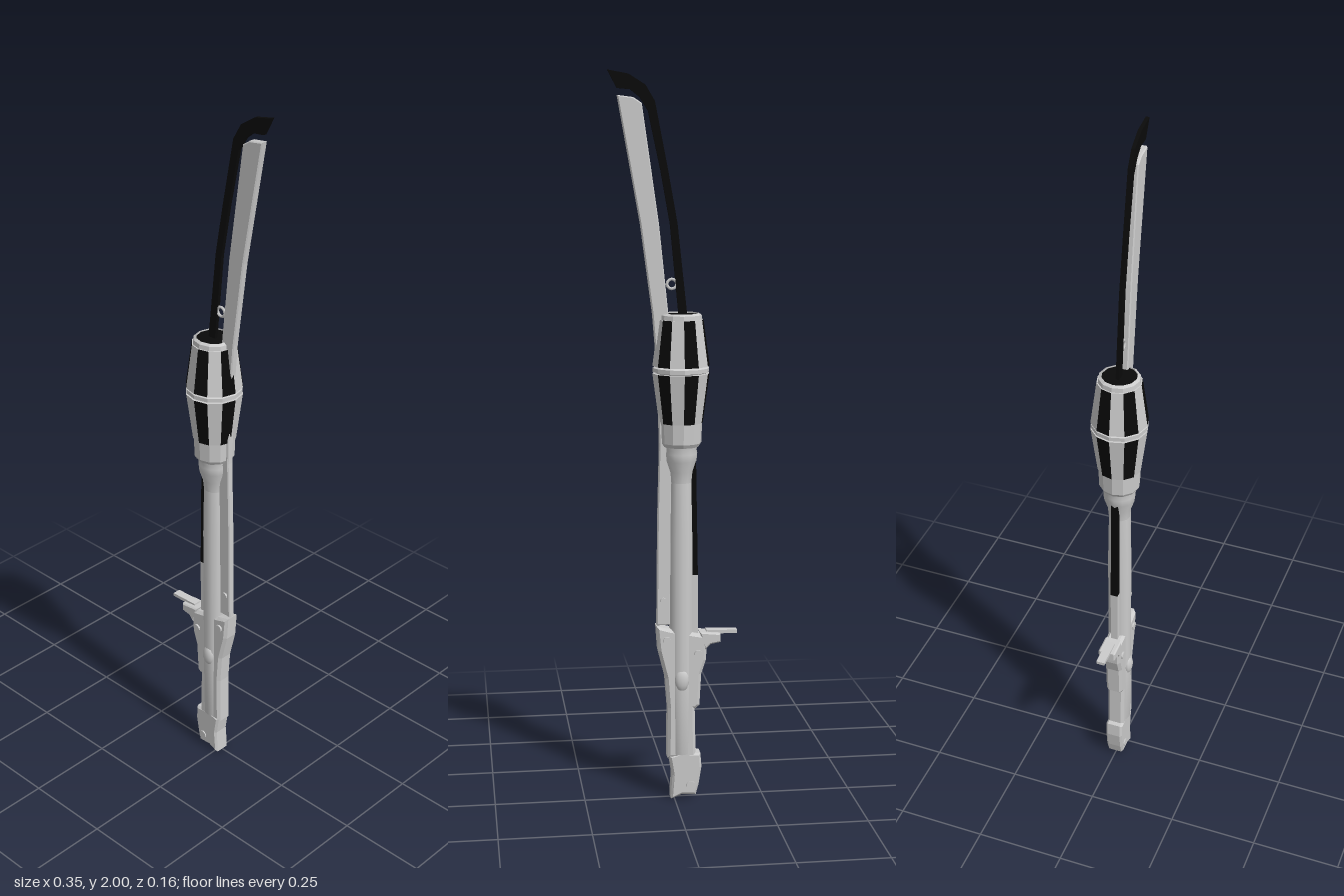
import * as THREE from 'three';

const grey = new THREE.MeshStandardMaterial({ color: 0xcccccc, flatShading: true });
const smoothGrey = new THREE.MeshStandardMaterial({ color: 0xcccccc });
const black = new THREE.MeshStandardMaterial({ color: 0x0a0a0a, flatShading: true });
const AXIS = -0.02; // x of the shaft's centre line

export function createModel() {
  const group = new THREE.Group();

  function add(name, geometry, material, x = 0, y = 0, z = 0) {
    const mesh = new THREE.Mesh(geometry, material);
    mesh.name = name;
    mesh.position.set(x, y, z);
    group.add(mesh);
    return mesh;
  }

  // Flat outline in x/y, given thickness centred on z = 0
  function plate(name, points, depth, material, bevel = 0) {
    const shape = new THREE.Shape(points.map(([x, y]) => new THREE.Vector2(x, y)));
    const core = depth - 2 * bevel;
    const geometry = new THREE.ExtrudeGeometry(shape, {
      depth: core, bevelEnabled: bevel > 0, bevelSize: bevel, bevelOffset: -bevel,
      bevelThickness: bevel, bevelSegments: 1,
    });
    geometry.translate(0, 0, -core / 2);
    return add(name, geometry, material);
  }

  // Revolved part; profile points are [radius, y]
  function turned(name, profile, sides, material) {
    const points = profile.map(([r, y]) => new THREE.Vector2(r, y));
    return add(name, new THREE.LatheGeometry(points, sides), material, AXIS);
  }

  // Blades
  plate('blackBlade', [
    [-0.038, 1.34], [-0.015, 1.34], [0.01, 1.6], [0.035, 1.74], [0.068, 1.895],
    [0.09, 1.93], [0.115, 1.95], [0.15, 1.953], [0.175, 2], [0.12, 1.99],
    [0.075, 1.962], [0.05, 1.92], [0.015, 1.74], [-0.01, 1.6],
  ], 0.01, black);
  plate('greyBlade', [
    [0.01, 0.5], [0.048, 0.5], [0.045, 0.8], [0.04, 1], [0.045, 1.2], [0.058, 1.36],
    [0.09, 1.6], [0.15, 1.935], [0.108, 1.93], [0.085, 1.915], [0.04, 1.6],
    [0.015, 1.36], [0.005, 1.2], [0.005, 1],
  ], 0.02, grey, 0.003);
  add('bladeLoop', new THREE.TorusGeometry(0.013, 0.004, 6, 12), smoothGrey, 0.005, 1.44, 0);

  // Twelve-sided drum: core, collars and waist ring
  turned('drumCore', [
    [0, 1], [0.05, 1], [0.056, 1.01], [0.058, 1.065], [0.07, 1.195], [0.068, 1.225],
    [0.058, 1.34], [0.056, 1.357], [0.048, 1.362], [0.048, 1.355], [0, 1.355],
  ], 12, grey);
  turned('waistRing', [[0.066, 1.2], [0.077, 1.204], [0.077, 1.215], [0.066, 1.22]], 12, grey);
  add('drumCap', new THREE.CylinderGeometry(0.048, 0.048, 0.004, 12), black, AXIS, 1.356, 0);

  // Alternating black and grey panels around both halves of the drum
  const tiers = [
    { y0: 1.065, y1: 1.2, r0: 0.06, r1: 0.078 },
    { y0: 1.22, y1: 1.345, r0: 0.078, r1: 0.061 },
  ];
  for (const { y0, y1, r0, r1 } of tiers) {
    for (let i = 0; i < 12; i++) {
      const panel = new THREE.CylinderGeometry(
        r1, r0, y1 - y0, 1, 1, true, i * Math.PI / 6, Math.PI / 6);
      add('drumPanel', panel, i % 2 ? grey : black, AXIS, (y0 + y1) / 2, 0);
    }
    for (const [y, r, up] of [[y0, r0, -1], [y1, r1, 1]]) {
      const rim = add('drumRim', new THREE.RingGeometry(r - 0.014, r, 12), grey, AXIS, y, 0);
      rim.rotation.x = -up * Math.PI / 2;
    }
  }

  // Shaft with flared neck below the drum
  turned('neck', [
    [0.03, 0.9], [0.033, 0.93], [0.043, 0.96], [0.045, 0.98], [0.043, 0.99], [0.047, 1.01],
  ], 12, smoothGrey);
  turned('shaft', [
    [0, 0.13], [0.031, 0.13], [0.033, 0.33], [0.033, 0.75], [0.03, 0.9],
  ], 12, smoothGrey);
  plate('blackStrip', [[-0.066, 0.64], [-0.045, 0.64], [-0.045, 0.98], [-0.06, 0.98]], 0.02, black);
  plate('backRail', [[-0.066, 0.47], [-0.04, 0.47], [-0.04, 0.64], [-0.066, 0.64]], 0.02, grey);

  // Guard bracket and its side lever
  plate('guardBody', [
    [-0.058, 0.26], [-0.07, 0.27], [-0.075, 0.36], [-0.088, 0.4], [-0.092, 0.47],
    [-0.04, 0.48], [0.01, 0.49], [0.05, 0.5], [0.045, 0.43], [0.025, 0.35], [0.018, 0.26],
  ], 0.05, grey, 0.008);
  plate('leverMount', [
    [-0.085, 0.43], [-0.1, 0.445], [-0.128, 0.45], [-0.128, 0.475], [-0.07, 0.48],
  ], 0.05, grey, 0.004);
  plate('lever', [[-0.09, 0.472], [-0.176, 0.472], [-0.176, 0.481], [-0.09, 0.483]], 0.024, grey);

  // Lower grip and pommel
  plate('grip', [
    [-0.06, 0.12], [-0.056, 0.3], [0.018, 0.3], [0.02, 0.12],
  ], 0.05, grey, 0.008);
  plate('pommel', [
    [-0.06, 0.01], [-0.068, 0.04], [-0.076, 0.09], [-0.073, 0.13], [-0.02, 0.135],
    [0.015, 0.125], [0.006, 0.07], [0.01, 0], [-0.02, 0.012],
  ], 0.05, grey, 0.006);

  // Teardrop swellings on both faces of the shaft
  for (const side of [-1, 1]) {
    const boss = add('shaftBoss', new THREE.SphereGeometry(0.02, 12, 8), smoothGrey, AXIS, 0.345, side * 0.026);
    boss.scale.set(1, 1.6, 0.65);
  }

  // Rivets through the body: x, y, radius, length
  for (const [x, y, r, length] of [
    [0.022, 0.46, 0.011, 0.06], [-0.066, 0.42, 0.011, 0.06],
    [0.03, 0.57, 0.009, 0.03], [-0.045, 0.04, 0.012, 0.056],
  ]) {
    const rivet = add('rivet', new THREE.CylinderGeometry(r, r, length, 10), grey, x, y, 0);
    rivet.rotation.x = Math.PI / 2;
  }

  return group;
}
